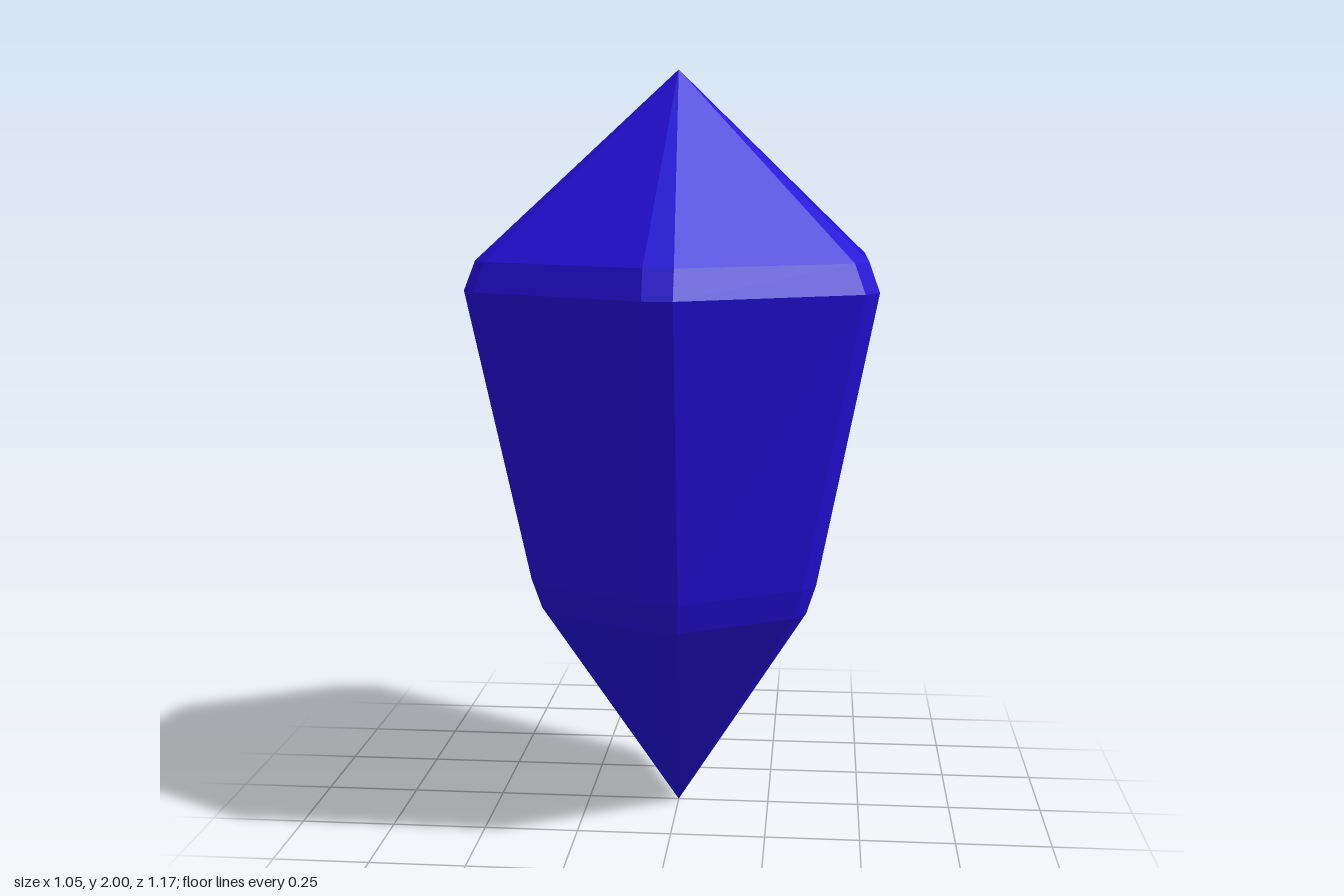
import * as THREE from 'three';

// Cross-sections from bottom to top: height, corner distance, half width of the bevelled corner
const SECTIONS = [
  { y: 0, r: 0, w: 0 },
  { y: 0.59, r: 0.387, w: 0.032 },
  { y: 0.67, r: 0.415, w: 0.034 },
  { y: 1.44, r: 0.584, w: 0.037 },
  { y: 1.515, r: 0.553, w: 0.037 },
  { y: 2, r: 0, w: 0 },
];

// Hexagon with each corner cut flat, giving twelve points
function ring({ y, r, w }) {
  const points = [];
  for (let i = 0; i < 6; i++) {
    const angle = (i * Math.PI) / 3;
    for (const side of [-w, w]) {
      points.push(new THREE.Vector3(side, y, r).applyAxisAngle(new THREE.Vector3(0, 1, 0), angle));
    }
  }
  return points;
}

// Join neighbouring rings, using single triangles at the pointed ends
function crystalGeometry() {
  const rings = SECTIONS.map(ring);
  const corners = [];
  for (let s = 0; s < rings.length - 1; s++) {
    const low = rings[s], high = rings[s + 1];
    for (let i = 0; i < 12; i++) {
      const j = (i + 1) % 12;
      if (SECTIONS[s].r > 0) corners.push(low[i], low[j], high[j]);
      else corners.push(low[i], high[j], high[i]);
      if (SECTIONS[s].r > 0 && SECTIONS[s + 1].r > 0) corners.push(low[i], high[j], high[i]);
    }
  }
  const geometry = new THREE.BufferGeometry().setFromPoints(corners);
  geometry.computeVertexNormals();
  return geometry;
}

export function createModel() {
  const group = new THREE.Group();
  group.name = 'gem';
  const material = new THREE.MeshStandardMaterial({ color: 0x220fd6, flatShading: true });
  const crystal = new THREE.Mesh(crystalGeometry(), material);
  crystal.name = 'crystal';
  group.add(crystal);
  return group;
}
